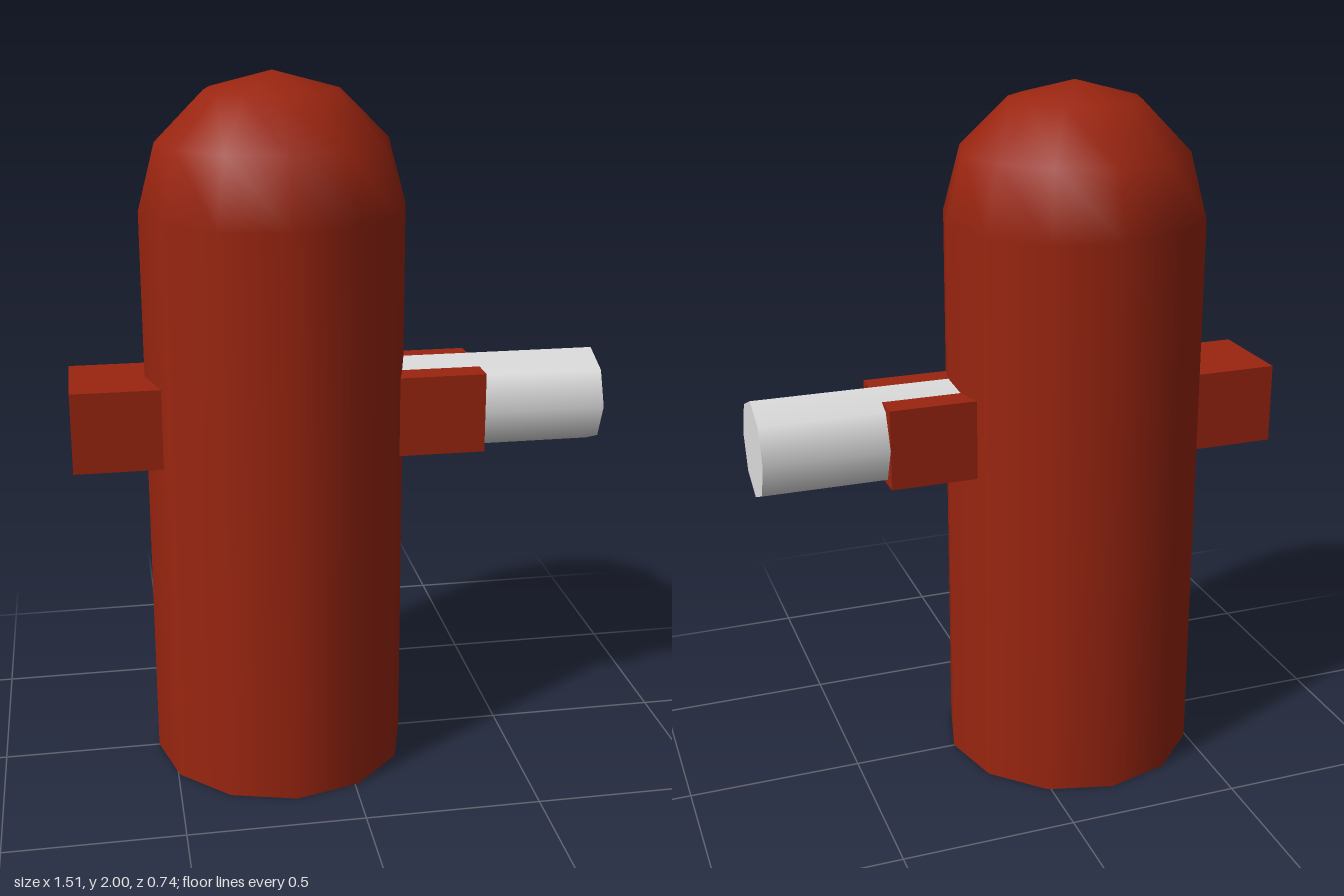
import * as THREE from 'three';

const red = new THREE.MeshStandardMaterial({ name: 'brickRed', color: 0x9a2510 });
const grey = new THREE.MeshStandardMaterial({ name: 'lightGrey', color: 0xdedede });

export function createModel() {
  const model = new THREE.Group();
  model.name = 'hydrant';

  const add = (parent, name, geometry, material, x, y, z = 0) => {
    const mesh = new THREE.Mesh(geometry, material);
    mesh.name = name;
    mesh.position.set(x, y, z);
    parent.add(mesh);
    return mesh;
  };

  const bodyX = -0.175, radius = 0.37, shoulder = 1.63, sides = 12;
  const armY = 1.05;

  // Twelve-sided body: open barrel, faceted-outline dome, flat base
  const body = new THREE.Group();
  body.name = 'body';
  model.add(body);
  add(body, 'barrel', new THREE.CylinderGeometry(radius, radius, shoulder, sides, 1, true), red, bodyX, shoulder / 2);
  add(body, 'dome', new THREE.SphereGeometry(radius, sides, 3, 0, Math.PI * 2, 0, Math.PI / 2), red, bodyX, shoulder);
  add(body, 'base', new THREE.CircleGeometry(radius, sides).rotateX(Math.PI / 2), red, bodyX, 0);

  // Square bar running through the body
  add(model, 'crossBar', new THREE.BoxGeometry(1.16, 0.23, 0.28), red, -0.175, armY);

  // Eight-sided nozzle emerging from the bar on the left
  const nozzle = new THREE.CylinderGeometry(0.14, 0.14, 0.755, 8).rotateZ(-Math.PI / 2);
  add(model, 'nozzle', nozzle, grey, 0.3775, armY);

  return model;
}
